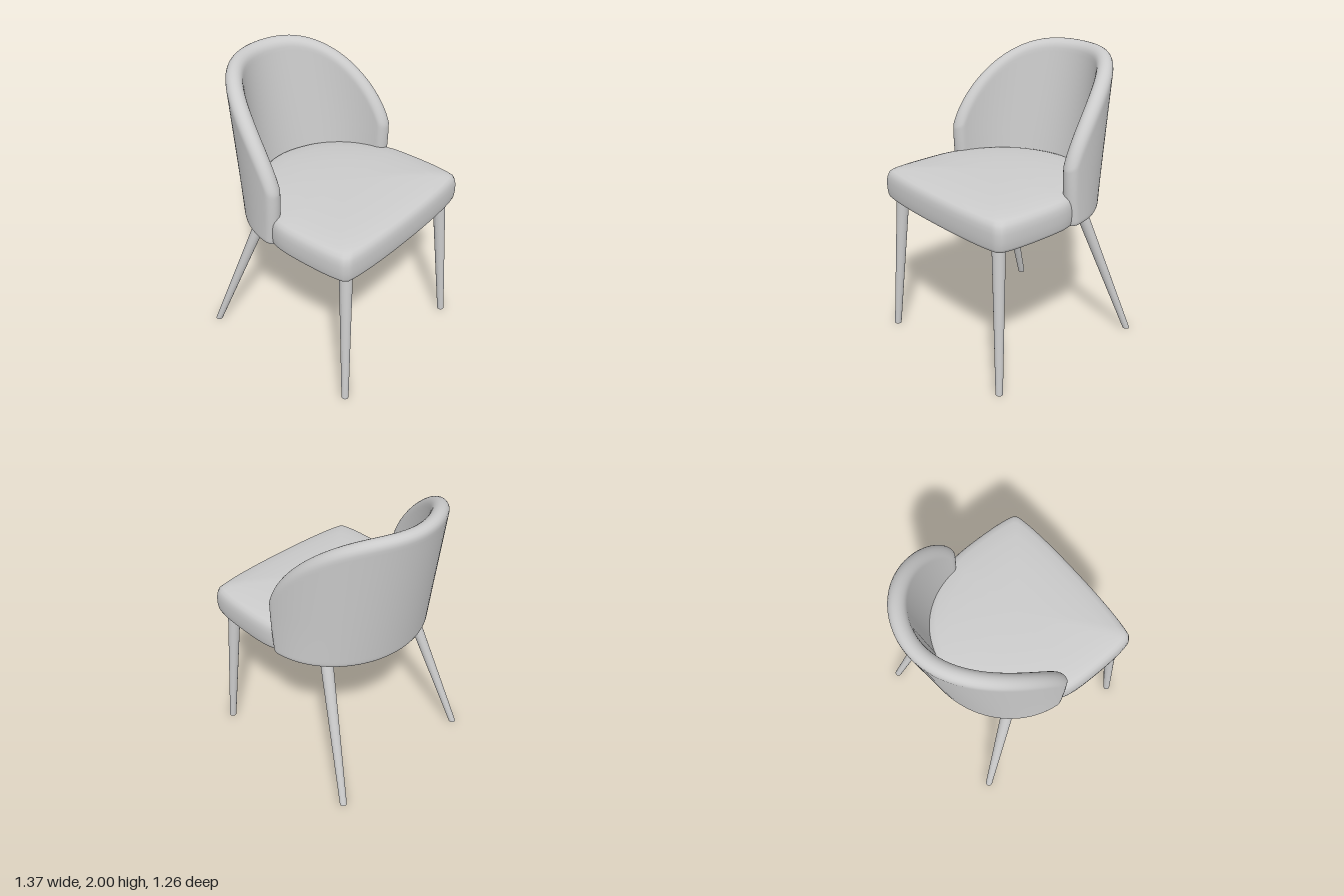
import * as THREE from 'three';
import { mergeVertices } from 'three/addons/utils/BufferGeometryUtils.js';

const FLOOR = 1.01; // underside height of the upholstery
const material = new THREE.MeshStandardMaterial({ color: 0xcccccc, side: THREE.DoubleSide });

// Skin a list of closed rings of [x, y, z] points with smooth normals
function loft(rings) {
  const n = rings[0].length;
  const index = [];
  for (let i = 0; i < rings.length - 1; i++) {
    for (let j = 0; j < n; j++) {
      const k = (j + 1) % n;
      const a = i * n + j, b = i * n + k, c = (i + 1) * n + k, d = (i + 1) * n + j;
      index.push(a, b, c, a, c, d);
    }
  }
  let geometry = new THREE.BufferGeometry();
  geometry.setAttribute('position', new THREE.Float32BufferAttribute(rings.flat(2), 3));
  geometry.setIndex(index);
  geometry = mergeVertices(geometry, 1e-5);
  geometry.computeVertexNormals();
  return geometry;
}

function addMesh(group, name, geometry) {
  const mesh = new THREE.Mesh(geometry, material);
  mesh.name = name;
  group.add(mesh);
}

// Domed cushion: one plan outline, scaled ring by ring
function seatGeometry() {
  const half = [[0.68, 0], [0.674, 0.3], [0.655, 0.52], [0.635, 0.595], [0.57, 0.615], [0.35, 0.628],
    [0.1, 0.617], [0, 0.585], [-0.2, 0.49], [-0.39, 0.3], [-0.485, 0]];
  const outline = [
    ...half.map(([x, z]) => new THREE.Vector3(x, 0, -z)),
    ...half.slice(1, -1).reverse().map(([x, z]) => new THREE.Vector3(x, 0, z)),
  ];
  const plan = new THREE.CatmullRomCurve3(outline, true).getSpacedPoints(120).slice(0, -1);
  const profile = [[0, 1.01], [0.9, 1.01], [0.965, 1.01], [0.982, 1.016], [0.992, 1.035], [1, 1.08], [1, 1.13],
    [0.992, 1.165], [0.975, 1.19], [0.945, 1.207], [0.89, 1.219], [0.75, 1.236], [0.5, 1.249], [0.25, 1.254], [0, 1.256]];
  const cx = 0.15;
  return loft(profile.map(([s, y]) => plan.map((p) => [cx + (p.x - cx) * s, y, p.z * s])));
}

// Height of the backrest rim at angle phi (0 = middle of the back)
const rim = (phi) => 1.38 + 0.62 * Math.pow(Math.max(0, 1 - Math.sin(phi) ** 4), 1 / 2.82);

// Wrap-around shell: leaning half ellipse, thickness rounded off at its edges
function backrestGeometry() {
  const columns = 80, rows = 32, halfThick = 0.055;
  const round = (d, r) => Math.sqrt(1 - (1 - THREE.MathUtils.clamp(d / r, 0, 1)) ** 2);
  const rings = [];
  for (let i = 0; i <= columns; i++) {
    const phi = (Math.PI / 2) * Math.sin(Math.PI * (0.5 - i / columns));
    const c = Math.cos(phi), s = Math.sin(phi), top = rim(phi);
    const slope = (rim(phi + 0.002) - rim(phi - 0.002)) / 0.004 / 0.6;
    const endGap = 0.59 * (Math.PI / 2 - Math.abs(phi));
    const point = (k, side) => {
      const v = (1 - Math.cos((Math.PI * k) / rows)) / 2;
      const y = FLOOR + v * (top - FLOOR);
      const gap = Math.min(endGap, (top - y) / Math.hypot(1, slope));
      const t = side * halfThick * round(gap, 0.055) * (0.7 + 0.3 * round(y - FLOOR, 0.03));
      const bulge = s ** 8 * (0.025 * Math.sin((Math.PI / 2) * Math.min(1, (y - FLOOR) / 0.35)) - 0.01);
      const x = 0.05 - (0.535 + t) * c - 0.158 * (y - FLOOR) * c + bulge;
      return [x, y, (0.565 + t) * s];
    };
    const ring = [];
    for (let k = 0; k <= rows; k++) ring.push(point(k, 1));
    for (let k = rows; k >= 0; k--) ring.push(point(k, -1));
    rings.push(ring);
  }
  return loft(rings);
}

// Tapered leg sheared so that both ends stay level
function legGeometry(top, foot) {
  const height = 1.03;
  const geometry = new THREE.CylinderGeometry(0.044, 0.024, height, 24);
  geometry.translate(0, height / 2, 0);
  const p = geometry.attributes.position;
  for (let i = 0; i < p.count; i++) {
    const t = p.getY(i) / height;
    p.setX(i, p.getX(i) + THREE.MathUtils.lerp(foot[0], top[0], t));
    p.setZ(i, p.getZ(i) + THREE.MathUtils.lerp(foot[1], top[1], t));
  }
  geometry.computeVertexNormals();
  return geometry;
}

export function createModel() {
  const chair = new THREE.Group();
  chair.name = 'chair';
  addMesh(chair, 'seat', seatGeometry());
  addMesh(chair, 'backrest', backrestGeometry());
  // The seat opens toward +x, so the legs mirror across z
  for (const side of [1, -1]) {
    const label = side > 0 ? 'A' : 'B';
    addMesh(chair, 'seatFrontLeg' + label, legGeometry([0.565, side * 0.51], [0.628, side * 0.578]));
    addMesh(chair, 'seatBackLeg' + label, legGeometry([-0.23, side * 0.39], [-0.585, side * 0.575]));
  }
  return chair;
}
